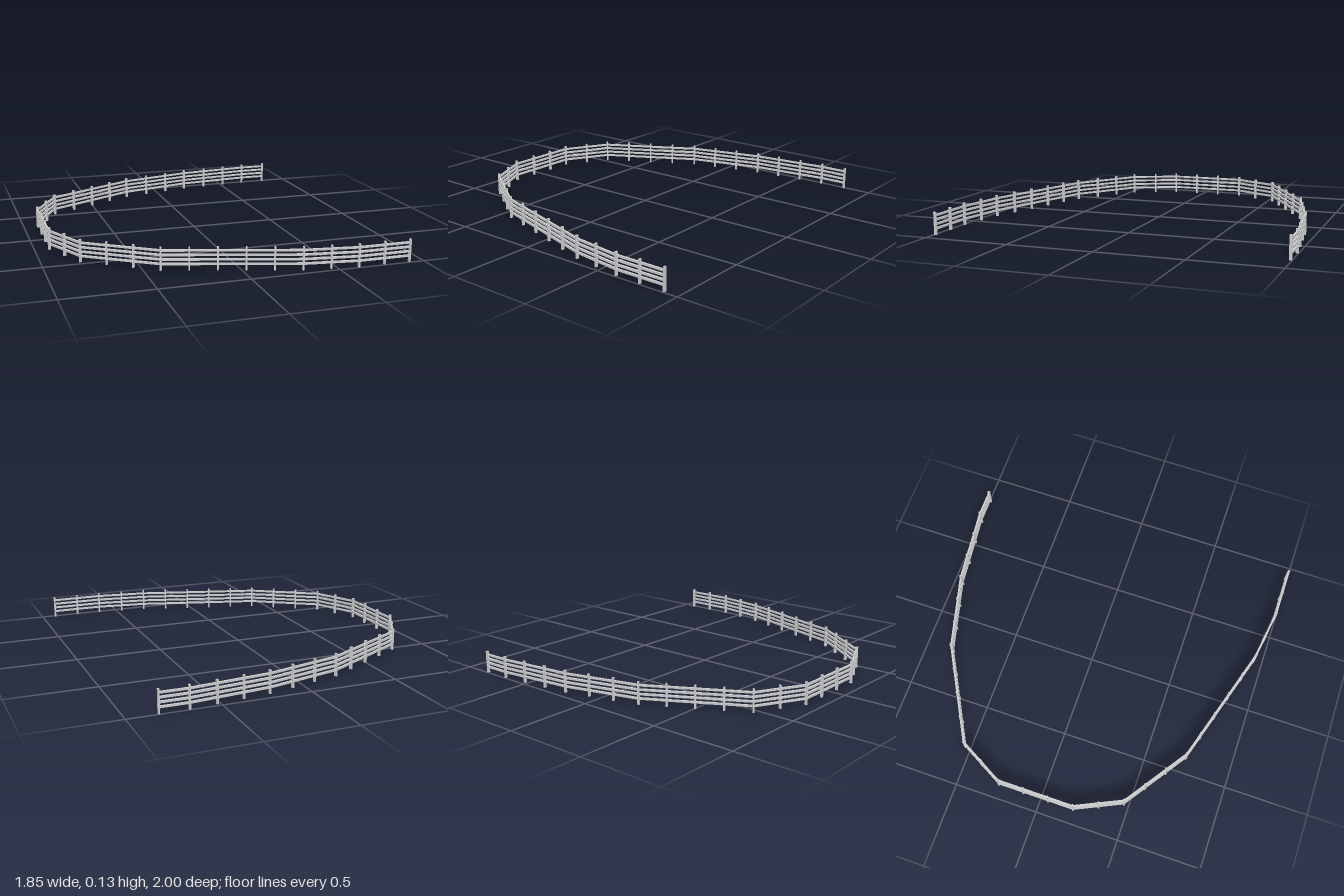
import * as THREE from 'three';

// Corner points [x, z, number of bays to the next corner]
const CORNERS = [
  [0.83, -0.992, 1], [0.67, -0.992, 3], [0.215, -0.942, 3], [-0.23, -0.827, 4],
  [-0.77, -0.53, 2], [-0.917, -0.26, 3], [-0.917, 0.2, 2], [-0.79, 0.47, 3],
  [-0.41, 0.73, 5], [0.312, 0.946, 2], [0.615, 0.989, 2], [0.917, 0.989, 0],
];
const POST = { along: 0.009, height: 0.13, across: 0.016 };
const RAIL = { height: 0.011, across: 0.012 };
const RAIL_LEVELS = [0.035, 0.06, 0.085, 0.11];

export function createModel() {
  const fence = new THREE.Group();
  fence.name = 'fence';
  const material = new THREE.MeshStandardMaterial({ color: 0xcccccc, flatShading: true });

  const points = CORNERS.map(([x, z]) => new THREE.Vector2(x, z));
  const last = points.length - 1;
  const direction = (i) => points[i + 1].clone().sub(points[i]).normalize();
  // Direction through each corner: the bisector of its two bays
  const tangents = points.map((_, i) =>
    direction(Math.max(i - 1, 0)).add(direction(Math.min(i, last - 1))).normalize());

  // Rails: one mitred strip following the whole path, repeated at each level
  const edge = (side) => points.map((p, i) => {
    const t = tangents[i];
    const mitre = t.dot(direction(Math.min(i, last - 1)));
    const offset = side * RAIL.across / 2 / mitre;
    return new THREE.Vector2(p.x - t.y * offset, p.y + t.x * offset);
  });
  const outline = new THREE.Shape([...edge(1), ...edge(-1).reverse()]);
  const railGeometry = new THREE.ExtrudeGeometry(outline, { depth: RAIL.height, bevelEnabled: false });
  railGeometry.rotateX(Math.PI / 2).translate(0, RAIL.height / 2, 0);
  for (const y of RAIL_LEVELS) {
    const rail = new THREE.Mesh(railGeometry, material);
    rail.name = 'rail';
    rail.position.y = y;
    fence.add(rail);
  }

  // Posts: one at each corner and evenly spaced along each side
  const postGeometry = new THREE.BoxGeometry(POST.along, POST.height, POST.across);
  postGeometry.translate(0, POST.height / 2, 0);
  const addPost = (p, t) => {
    const post = new THREE.Mesh(postGeometry, material);
    post.name = 'post';
    post.position.set(p.x, 0, p.y);
    post.rotation.y = Math.atan2(-t.y, t.x);
    fence.add(post);
  };
  points.forEach((p, i) => {
    addPost(p, tangents[i]);
    const bays = CORNERS[i][2];
    for (let k = 1; k < bays; k++) addPost(p.clone().lerp(points[i + 1], k / bays), direction(i));
  });

  return fence;
}
